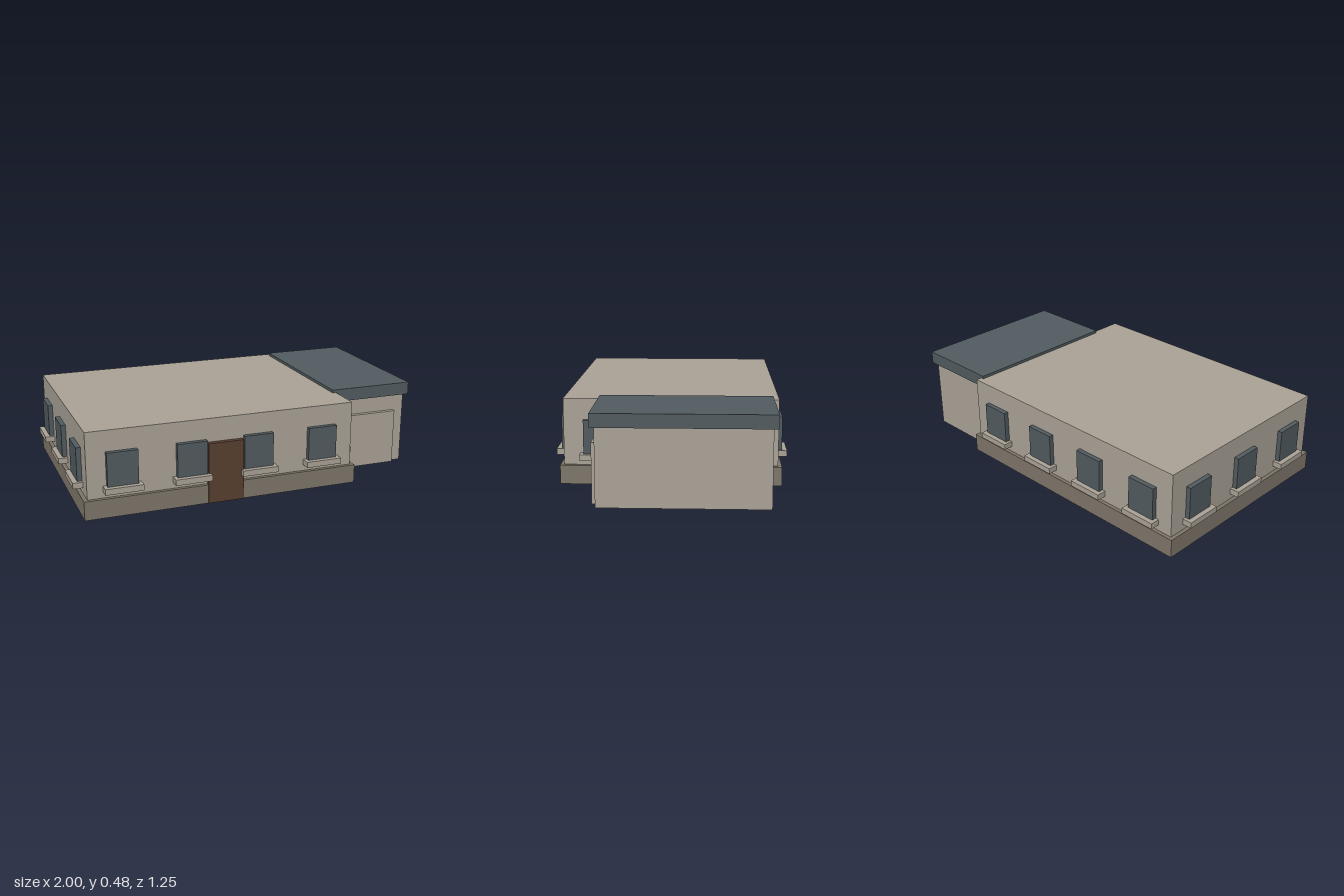
import * as THREE from 'three';

const material = (name, color) => {
  const m = new THREE.MeshStandardMaterial({ color });
  m.name = name;
  return m;
};

export function createModel() {
  const house = new THREE.Group();
  house.name = 'house';
  const plaster = material('warm grey plaster', 0xaca498);
  const stone = material('brown grey stone', 0x80776b);
  const slate = material('slate', 0x525c60);
  const wood = material('dark wood', 0x5a4031);

  // Box given by its extents along each axis
  function box(name, mat, [x0, x1], [y0, y1], [z0, z1], parent = house) {
    const mesh = new THREE.Mesh(new THREE.BoxGeometry(x1 - x0, y1 - y0, z1 - z0), mat);
    mesh.position.set((x0 + x1) / 2, (y0 + y1) / 2, (z0 + z1) / 2);
    mesh.name = name;
    parent.add(mesh);
  }

  // Main building on its plinth
  box('plinth', stone, [-0.968, 0.554], [0, 0.103], [-0.592, 0.592]);
  box('walls', plaster, [-0.947, 0.533], [0.05, 0.463], [-0.572, 0.572]);
  box('frontDoor', wood, [-0.305, -0.109], [0.001, 0.334], [0.55, 0.599]);

  // Garage with flat overhanging roof
  box('garageWalls', plaster, [0.5, 0.98], [0, 0.42], [-0.517, 0.355]);
  box('garageDoor', plaster, [0.595, 0.917], [0.001, 0.315], [0.34, 0.379]);
  box('garageRoof', slate, [0.513, 1], [0.408, 0.479], [-0.54, 0.377]);

  // Window with sill; local +z points out of the wall
  function addWindow(x, z, angle) {
    const g = new THREE.Group();
    g.name = 'window';
    box('pane', slate, [-0.082, 0.082], [0.155, 0.35], [-0.02, 0.026], g);
    box('sill', plaster, [-0.101, 0.101], [0.136, 0.168], [-0.02, 0.053], g);
    g.position.set(x, 0, z);
    g.rotation.y = angle;
    house.add(g);
  }

  for (const x of [-0.763, -0.392, -0.021, 0.35]) {
    addWindow(x, 0.572, 0);
    addWindow(x, -0.572, Math.PI);
  }
  for (const z of [-0.383, 0, 0.383]) addWindow(-0.947, z, -Math.PI / 2);
  addWindow(0.533, 0.383, Math.PI / 2);

  return house;
}
